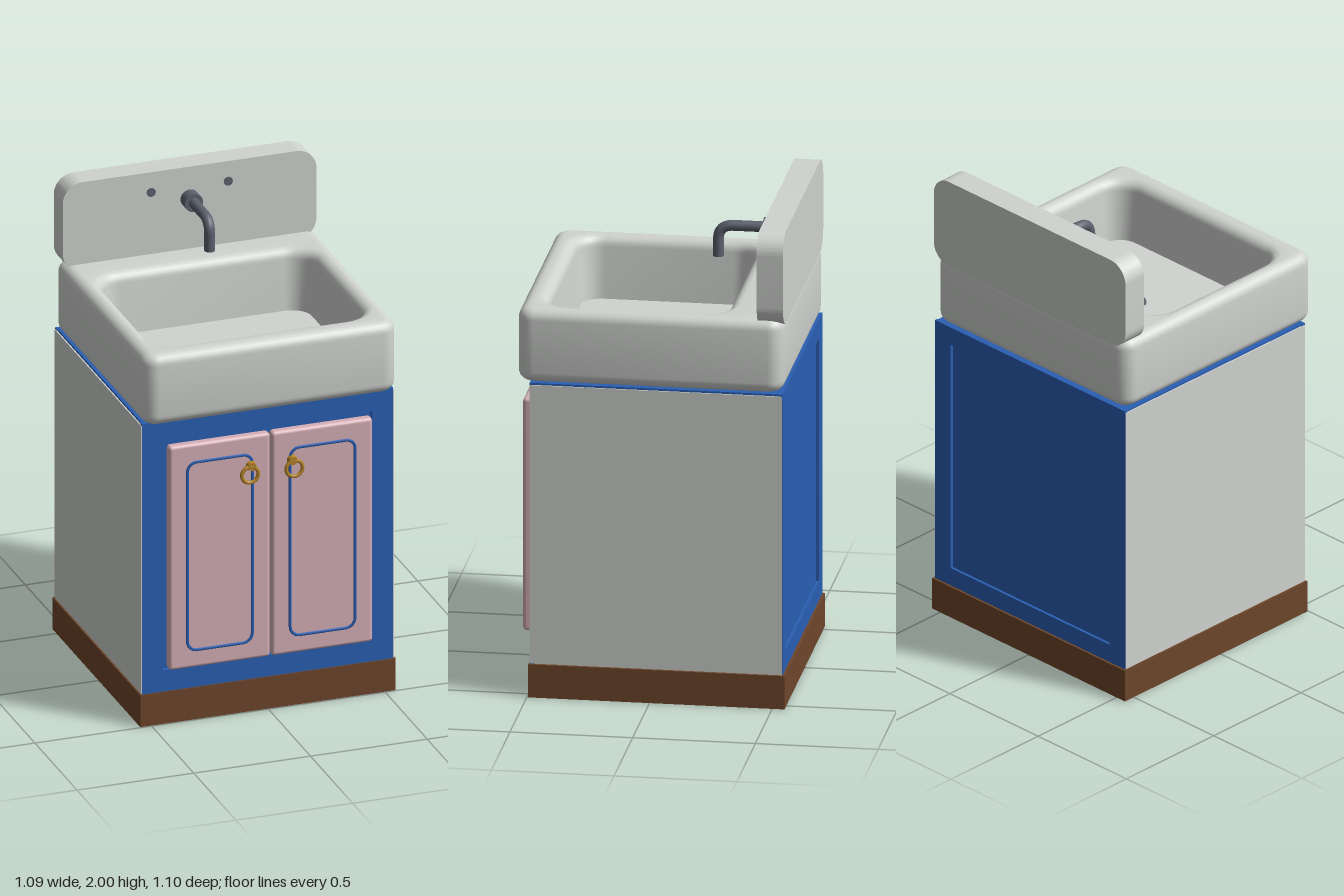
import * as THREE from 'three';
import { toCreasedNormals } from 'three/addons/utils/BufferGeometryUtils.js';
import { RoundedBoxGeometry } from 'three/addons/geometries/RoundedBoxGeometry.js';

const mat = (name, color) => Object.assign(new THREE.MeshStandardMaterial({ color }), { name });

function add(parent, name, geometry, material, x = 0, y = 0, z = 0) {
  const mesh = new THREE.Mesh(geometry, material);
  mesh.name = name;
  mesh.position.set(x, y, z);
  parent.add(mesh);
  return mesh;
}

const box = (w, h, d) => new THREE.BoxGeometry(w, h, d);

// Rounded rectangle outline in the xy plane
function roundedRect(x0, y0, x1, y1, r) {
  const s = new THREE.Shape();
  s.absarc(x1 - r, y1 - r, r, 0, Math.PI / 2);
  s.absarc(x0 + r, y1 - r, r, Math.PI / 2, Math.PI);
  s.absarc(x0 + r, y0 + r, r, Math.PI, Math.PI * 1.5);
  s.absarc(x1 - r, y0 + r, r, Math.PI * 1.5, Math.PI * 2);
  s.closePath();
  return s;
}

// Rectangular frame with a rectangular opening
function frame(w, y0, y1, holeW, h0, h1, depth) {
  const rect = (x, a, b) => [[-x, a], [x, a], [x, b], [-x, b]].map((p) => new THREE.Vector2(...p));
  const s = new THREE.Shape(rect(w, y0, y1));
  s.holes.push(new THREE.Path(rect(holeW, h0, h1).reverse()));
  return new THREE.ExtrudeGeometry(s, { depth, bevelEnabled: false });
}

// Skin stacked rounded-rectangle sections: [halfWidth, zBack, zFront, radius, y]
function loft(sections) {
  const steps = 8, n = 4 * (steps + 1), pos = [], idx = [];
  for (const [hw, z0, z1, r, y] of sections) {
    for (let c = 0; c < 4; c++) {
      const cx = (c === 0 || c === 3 ? 1 : -1) * (hw - r);
      const cz = c < 2 ? z1 - r : z0 + r;
      for (let k = 0; k <= steps; k++) {
        const a = (c + k / steps) * Math.PI / 2;
        pos.push(cx + r * Math.cos(a), y, cz + r * Math.sin(a));
      }
    }
  }
  const last = sections.length - 1, base = sections.length * n;
  for (const i of [0, last]) pos.push(0, sections[i][4], (sections[i][1] + sections[i][2]) / 2);
  for (let j = 0; j < n; j++) {
    const k = (j + 1) % n;
    for (let i = 0; i < last; i++) {
      const a = i * n + j, b = a + n, c = i * n + k, d = c + n;
      idx.push(a, b, c, c, b, d);
    }
    idx.push(base, j, k, base + 1, last * n + k, last * n + j);
  }
  const g = new THREE.BufferGeometry();
  g.setAttribute('position', new THREE.Float32BufferAttribute(pos, 3));
  g.setIndex(idx);
  return toCreasedNormals(g, 0.7);
}

function basinSections() {
  const rows = [], R = 0.045, N = 6;
  const outer = (d, y) => rows.push([0.543 - d, -0.542 + d, 0.542 - d, 0.065 - d, y]);
  const inner = (d, y) => rows.push([0.435 + d, -0.275 - d, 0.415 + d, 0.085 + d, y]);
  const arc = (i) => i / N * Math.PI / 2;
  // outer bottom edge, then outer top edge
  for (let i = 0; i <= N; i++) outer(R * (1 - Math.sin(arc(i))), 1.33 + R * (1 - Math.cos(arc(i))));
  for (let i = 0; i <= N; i++) outer(R * (1 - Math.cos(arc(i))), 1.64 - R * (1 - Math.sin(arc(i))));
  // rolled inner lip, then the wall down to the floor
  for (let i = 0; i <= N; i++) inner(0.02 + R * (1 - Math.sin(arc(i))), 1.64 - R * (1 - Math.cos(arc(i))));
  inner(0, 1.38);
  return rows;
}

export function createModel() {
  const ceramic = mat('ceramic', 0xd0d3d0);
  const blue = mat('blue paint', 0x2a5fb4);
  const pink = mat('pink paint', 0xd6b0b7);
  const wood = mat('brown wood', 0x6e462b);
  const metal = mat('dark metal', 0x5d626e);
  const brass = mat('brass', 0xb5842a);

  const model = new THREE.Group();
  model.name = 'sinkCabinet';

  // Plinth and cabinet body
  add(model, 'plinth', box(1.094, 0.14, 1.045), wood, 0, 0.07, -0.0275);
  const cabinet = new THREE.Group();
  cabinet.name = 'cabinet';
  model.add(cabinet);
  add(cabinet, 'carcass', box(1.07, 1.19, 0.998), blue, 0, 0.735, -0.029);
  add(cabinet, 'frontFrame', frame(0.538, 0.14, 1.33, 0.447, 0.233, 1.24, 0.02), blue, 0, 0, 0.47);
  add(cabinet, 'backFrame', frame(0.538, 0.14, 1.33, 0.45, 0.22, 1.25, 0.012), blue, 0, 0, -0.54);
  for (const s of [-1, 1]) {
    add(cabinet, 'sidePanel', box(0.01, 1.18, 1.028), ceramic, s * 0.536, 0.732, -0.025);
  }

  // Doors with inlaid beading and ring pulls
  for (const s of [-1, 1]) {
    const door = new THREE.Group();
    door.name = s > 0 ? 'leftDoor' : 'rightDoor';
    model.add(door);
    add(door, 'doorPanel', new RoundedBoxGeometry(0.433, 0.985, 0.045, 3, 0.015), pink, s * 0.2195, 0.7375, 0.511);

    const outline = roundedRect(-0.139, -0.413, 0.139, 0.413, 0.04).getPoints(6)
      .map((p) => new THREE.Vector3(p.x, p.y, 0));
    const path = new THREE.CurvePath();
    outline.forEach((p, i) => {
      const q = outline[(i + 1) % outline.length];
      if (p.distanceTo(q) > 1e-5) path.add(new THREE.LineCurve3(p, q));
    });
    add(door, 'beading', new THREE.TubeGeometry(path, 240, 0.007, 6, true), blue, s * 0.22, 0.737, 0.532);

    add(door, 'pullRing', new THREE.TorusGeometry(0.035, 0.008, 10, 28), brass, s * 0.095, 1.065, 0.546);
    const mount = add(door, 'pullMount', new THREE.CylinderGeometry(0.018, 0.022, 0.022, 16), brass, s * 0.088, 1.1, 0.542);
    mount.rotation.x = Math.PI / 2;
  }

  // Basin and splashback
  add(model, 'basin', loft(basinSections()), ceramic);
  const splash = new THREE.ExtrudeGeometry(roundedRect(-0.543, 1.61, 0.543, 2, 0.085),
    { depth: 0.107, bevelEnabled: false, curveSegments: 10 });
  add(model, 'splashback', toCreasedNormals(splash, 0.7), ceramic, 0, 0, -0.543);

  // Drain
  add(model, 'drainRing', new THREE.CylinderGeometry(0.037, 0.04, 0.012, 28), metal, 0, 1.386, 0.07);
  add(model, 'drainPlug', new THREE.CylinderGeometry(0.02, 0.022, 0.012, 24), metal, 0, 1.397, 0.07);

  // Wall spout and screw caps
  const spout = new THREE.CurvePath();
  const v = (y, z) => new THREE.Vector3(0, y, z);
  spout.add(new THREE.LineCurve3(v(1.861, -0.43), v(1.861, -0.26)));
  spout.add(new THREE.QuadraticBezierCurve3(v(1.861, -0.26), v(1.861, -0.198), v(1.8, -0.198)));
  spout.add(new THREE.LineCurve3(v(1.8, -0.198), v(1.732, -0.198)));
  add(model, 'spout', new THREE.TubeGeometry(spout, 40, 0.022, 16), metal);
  add(model, 'spoutMouth', new THREE.CylinderGeometry(0.022, 0.022, 0.004, 16), metal, 0, 1.732, -0.198);
  const flange = add(model, 'spoutFlange', new THREE.CylinderGeometry(0.039, 0.039, 0.055, 28), metal, 0, 1.861, -0.411);
  flange.rotation.x = Math.PI / 2;
  for (const s of [-1, 1]) {
    const cap = add(model, 'screwCap', new THREE.CylinderGeometry(0.019, 0.019, 0.008, 16), metal, s * 0.165, 1.912, -0.436);
    cap.rotation.x = Math.PI / 2;
  }
  return model;
}
